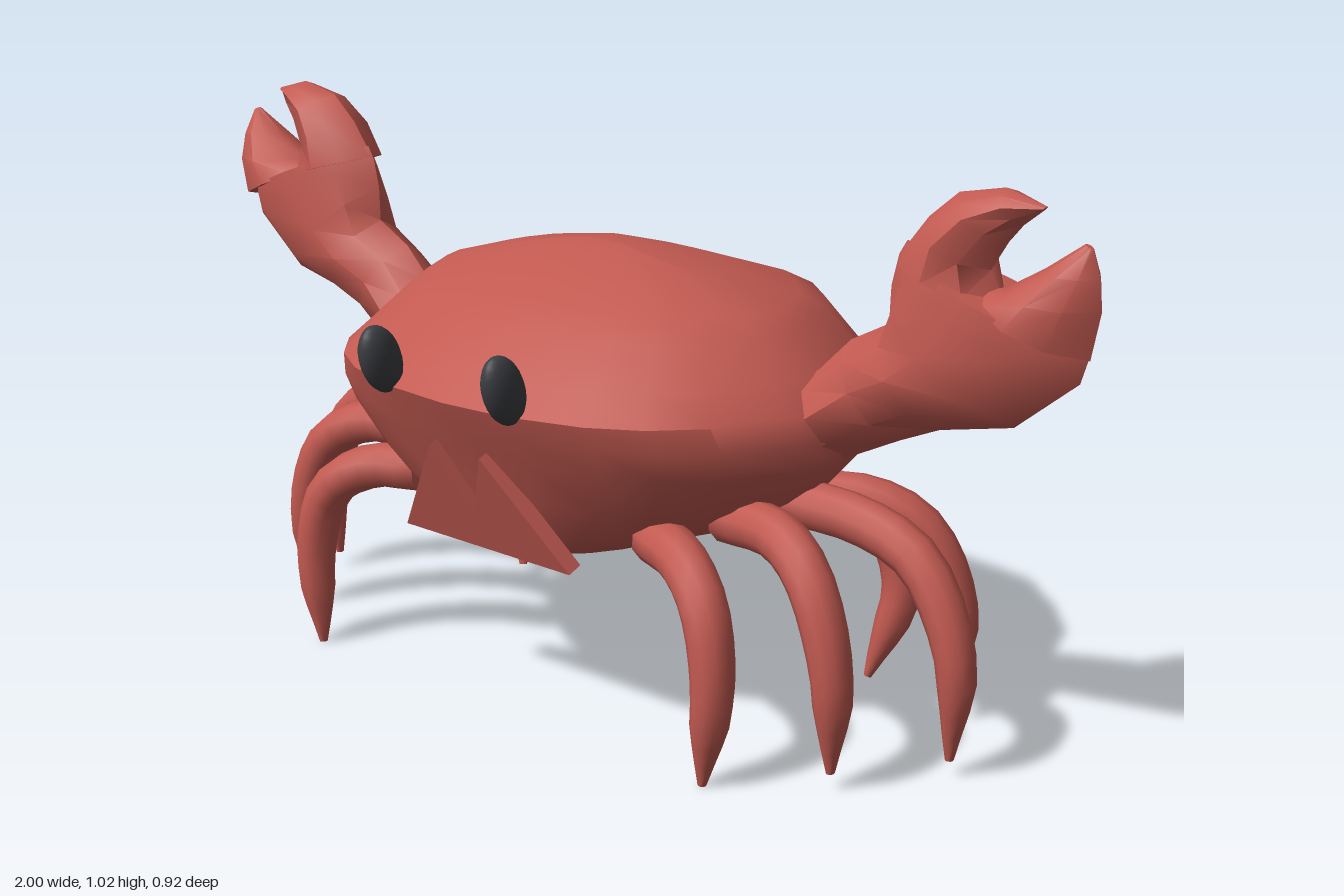
import * as THREE from 'three';
import { toCreasedNormals } from 'three/addons/utils/BufferGeometryUtils.js';

const shellRed = new THREE.MeshStandardMaterial({ color: 0xc25a51 });
shellRed.name = 'shell red';
const eyeGrey = new THREE.MeshStandardMaterial({ color: 0x3d3e43 });
eyeGrey.name = 'eye grey';

const V = (x, y, z) => new THREE.Vector3(x, y, z);

// Closed skin over a list of rings, capped at both ends and always facing outward
function loft(rings, crease = 0.7) {
  const n = rings[0].length;
  const points = rings.flat();
  const faces = [];
  for (let r = 0; r < rings.length - 1; r++) {
    for (let i = 0; i < n; i++) {
      const a = r * n + i, b = r * n + (i + 1) % n;
      faces.push([a, b, b + n], [a, b + n, a + n]);
    }
  }
  for (const r of [0, rings.length - 1]) {
    const centre = rings[r].reduce((s, p) => s.add(p), V(0, 0, 0)).divideScalar(n);
    const c = points.push(centre) - 1;
    for (let i = 0; i < n; i++) {
      const a = r * n + i, b = r * n + (i + 1) % n;
      faces.push(r === 0 ? [c, b, a] : [c, a, b]);
    }
  }
  // Flip the corners when the signed volume is negative
  let volume = 0;
  for (const [a, b, c] of faces) volume += points[a].dot(V(0, 0, 0).crossVectors(points[b], points[c]));
  if (volume < 0) faces.forEach(f => f.reverse());
  const geometry = new THREE.BufferGeometry().setFromPoints(points);
  geometry.setIndex(faces.flat());
  return toCreasedNormals(geometry, crease);
}

function addMesh(parent, name, geometry, material = shellRed) {
  const mesh = new THREE.Mesh(geometry, material);
  mesh.name = name;
  parent.add(mesh);
  return mesh;
}

// Shell: one half outline, scaled per level by half width, back and front depth
function shellGeometry() {
  const half = [[0, -1], [0.3, -0.97], [0.53, -0.93], [0.72, -0.74], [0.88, -0.52], [0.97, -0.22], [1, 0],
    [0.96, 0.22], [0.84, 0.55], [0.7, 0.74], [0.53, 0.87], [0.27, 0.97], [0, 1]];
  const outline = [...half, ...half.slice(1, -1).reverse().map(([x, z]) => [-x, z])];
  const levels = [ // y, half width, back, front
    [0.315, 0.22, 0.27, 0.285],
    [0.36, 0.35, 0.325, 0.305],
    [0.43, 0.46, 0.37, 0.335],
    [0.51, 0.53, 0.425, 0.37],
    [0.56, 0.54, 0.46, 0.395],
    [0.605, 0.52, 0.435, 0.415],
    [0.65, 0.475, 0.405, 0.355],
    [0.715, 0.415, 0.36, 0.265],
    [0.745, 0.37, 0.30, 0.21],
    [0.785, 0.235, 0.18, 0.12],
    [0.81, 0.10, 0.09, 0.04],
    [0.818, 0.04, 0.05, 0.0],
  ];
  return loft(levels.map(([y, w, back, front]) =>
    outline.map(([x, z]) => V(x * w, y, z < 0 ? z * back : z * front))));
}

// Claw pieces: each section runs from an upper to a lower edge point with a half thickness
function clawGeometry(sections, side) {
  const profile = [[0, 0], [0.16, 0.68], [0.45, 1], [0.78, 0.75], [1, 0], [0.78, -0.75], [0.45, -1], [0.16, -0.68]];
  return loft(sections.map(([ux, uy, lx, ly, t]) =>
    profile.map(([s, k]) => V(side * (ux + (lx - ux) * s), uy + (ly - uy) * s, -0.02 + k * t))), 0.75);
}

// Leg: round tapered tube along a smooth path
function legGeometry(path, side) {
  const curve = new THREE.CatmullRomCurve3(path.map(p => V(...p)));
  const steps = 14, sides = 10;
  const radii = [0.048, 0.046, 0.044, 0.041, 0.035, 0.008];
  const rings = [];
  for (let i = 0; i <= steps; i++) {
    const u = i / steps;
    const centre = curve.getPointAt(u), tangent = curve.getTangentAt(u);
    const across = V(0, 0, 1).cross(tangent).normalize();
    const along = tangent.clone().cross(across);
    const f = Math.min(u * 5, 4.999), k = Math.floor(f);
    const radius = THREE.MathUtils.lerp(radii[k], radii[k + 1], f - k);
    const ring = [];
    for (let j = 0; j < sides; j++) {
      const a = j / sides * Math.PI * 2;
      const p = centre.clone().addScaledVector(across, Math.cos(a) * radius * 0.92)
        .addScaledVector(along, Math.sin(a) * radius);
      p.x *= side;
      ring.push(p);
    }
    rings.push(ring);
  }
  return loft(rings, 0.9);
}

const arm = [
  [0.42, 0.63, 0.44, 0.47, 0.07],
  [0.47, 0.66, 0.56, 0.53, 0.09],
  [0.535, 0.725, 0.64, 0.57, 0.075],
  [0.61, 0.765, 0.717, 0.604, 0.084],
  [0.612, 0.83, 0.856, 0.636, 0.086],
  [0.625, 0.885, 0.97, 0.73, 0.086],
  [0.64, 0.91, 0.985, 0.78, 0.084],
];
const upperFinger = [
  [0.63, 0.89, 0.83, 0.835, 0.082],
  [0.68, 0.955, 0.80, 0.885, 0.078],
  [0.735, 1.002, 0.83, 0.935, 0.06],
  [0.82, 1.02, 0.855, 0.965, 0.04],
  [0.895, 1.0, 0.885, 0.99, 0.006],
];
const lowerFinger = [
  [0.78, 0.85, 0.985, 0.77, 0.082],
  [0.83, 0.862, 1.0, 0.85, 0.074],
  [0.9, 0.905, 0.995, 0.9, 0.045],
  [0.965, 0.952, 0.98, 0.945, 0.006],
];
const legPaths = {
  frontLeg: [[0.29, 0.37, 0.19], [0.38, 0.365, 0.23], [0.455, 0.315, 0.265], [0.49, 0.2, 0.28], [0.475, 0, 0.285]],
  secondLeg: [[0.37, 0.4, 0.09], [0.5, 0.405, 0.12], [0.585, 0.36, 0.15], [0.645, 0.22, 0.163], [0.645, 0.03, 0.155]],
  middleLeg: [[0.4, 0.42, -0.01], [0.58, 0.41, -0.02], [0.69, 0.365, -0.02], [0.77, 0.22, -0.015], [0.765, 0.03, -0.02]],
  fourthLeg: [[0.37, 0.4, -0.09], [0.5, 0.405, -0.14], [0.585, 0.36, -0.18], [0.645, 0.22, -0.213], [0.645, 0.055, -0.21]],
  backLeg: [[0.27, 0.36, -0.16], [0.37, 0.37, -0.21], [0.445, 0.315, -0.265], [0.48, 0.2, -0.283], [0.44, 0.02, -0.24]],
};

export function createModel() {
  const crab = new THREE.Group();
  crab.name = 'crab';
  addMesh(crab, 'shell', shellGeometry());

  // Sloping mouth plate with a notch between its two halves
  const plate = new THREE.Shape([[-0.2, 0], [0.2, 0], [0.06, 0.21], [0, 0.08], [-0.06, 0.21]]
    .map(([x, y]) => new THREE.Vector2(x, y)));
  const mouth = addMesh(crab, 'mouthPlate', new THREE.ExtrudeGeometry(plate, { depth: 0.03, bevelEnabled: false }));
  mouth.position.set(0, 0.325, 0.285);
  mouth.rotation.x = 0.36;

  for (const [label, side] of [['left', 1], ['right', -1]]) {
    const claw = new THREE.Group();
    claw.name = label + 'Claw';
    crab.add(claw);
    addMesh(claw, 'arm', clawGeometry(arm, side));
    addMesh(claw, 'upperFinger', clawGeometry(upperFinger, side));
    addMesh(claw, 'lowerFinger', clawGeometry(lowerFinger, side));

    const legs = new THREE.Group();
    legs.name = label + 'Legs';
    crab.add(legs);
    for (const [name, path] of Object.entries(legPaths)) addMesh(legs, name, legGeometry(path, side));

    // Upright eye leaning forward over the brow
    const eye = addMesh(crab, label + 'Eye', new THREE.SphereGeometry(1, 20, 14), eyeGrey);
    eye.scale.set(0.028, 0.066, 0.042);
    eye.position.set(side * 0.148, 0.655, 0.415);
    eye.rotation.x = 0.4;
  }
  return crab;
}
